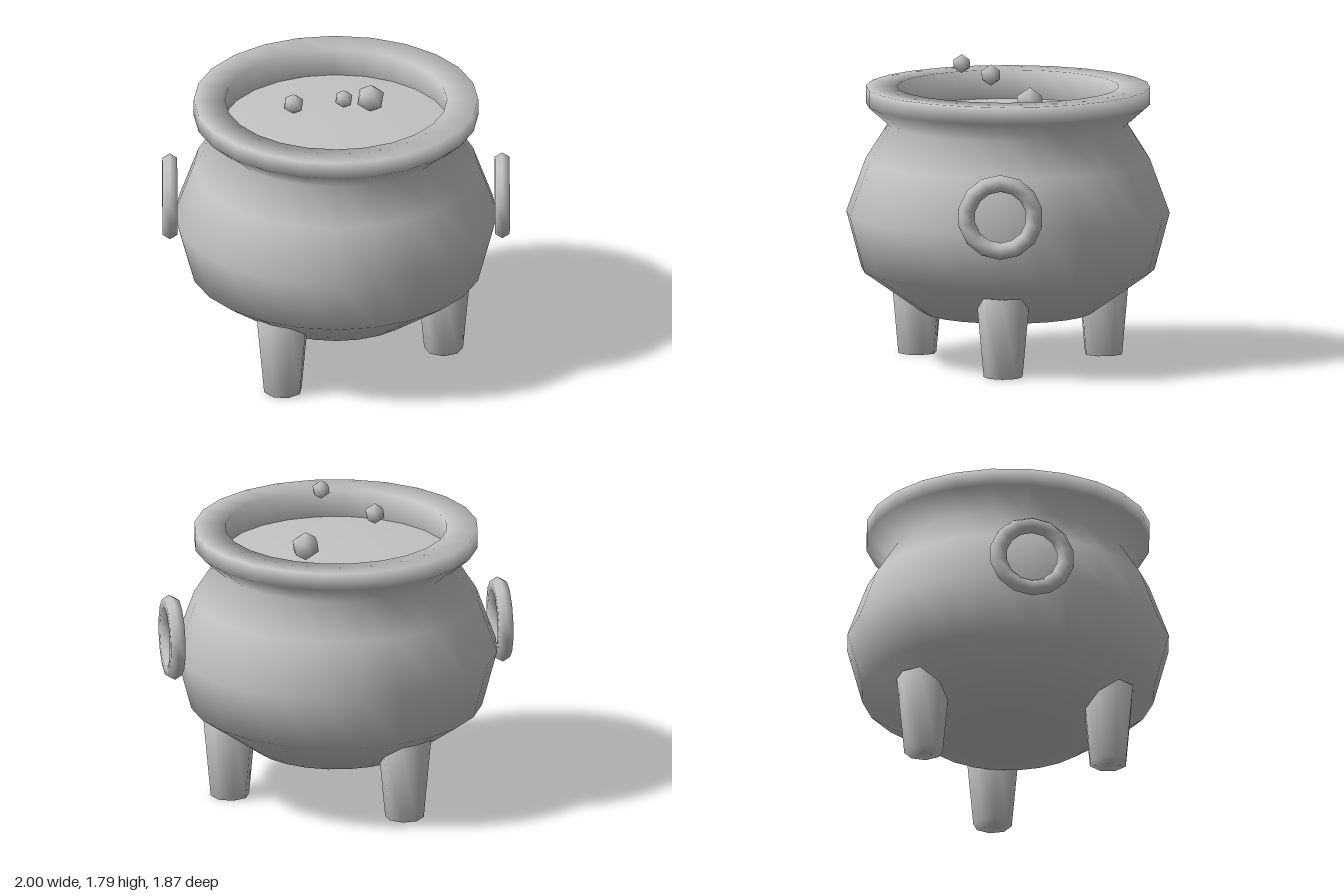
import * as THREE from 'three';

const iron = new THREE.MeshStandardMaterial({ color: 0xc4c4c4 });
iron.name = 'plain grey';

// Smooth surface of revolution from [radius, height] pairs
function turned(name, profile, sides) {
  const points = profile.map(([r, y]) => new THREE.Vector2(r, y));
  const mesh = new THREE.Mesh(new THREE.LatheGeometry(points, sides), iron);
  mesh.name = name;
  return mesh;
}

// Smooth-shaded icosahedron standing on one corner
function bubble(radius, x, y, z) {
  const geometry = new THREE.IcosahedronGeometry(radius, 0);
  geometry.rotateZ(-Math.atan(2 / (1 + Math.sqrt(5))));
  geometry.setAttribute('normal', geometry.getAttribute('position').clone());
  geometry.normalizeNormals();
  const mesh = new THREE.Mesh(geometry, iron);
  mesh.name = 'bubble';
  mesh.position.set(x, y, z);
  return mesh;
}

export function createModel() {
  const cauldron = new THREE.Group();
  cauldron.name = 'cauldron';

  // Pot: outside from the bottom up, over the rim, then down the inside
  cauldron.add(turned('pot', [
    [0, 0.25], [0.49, 0.29], [0.845, 0.54], [0.933, 0.87], [0.82, 1.18],
    [0.69, 1.385], [0.82, 1.5], [0.82, 1.6],
    [0.64, 1.6], [0.662, 1.4],
    [0.77, 1.15], [0.87, 0.87], [0.79, 0.58], [0.46, 0.35], [0, 0.31],
  ], 24));

  // Liquid filling the pot up to the neck
  cauldron.add(turned('liquid', [[0.665, 1.37], [0.665, 1.43], [0, 1.43]], 24));

  // Three tapered legs
  for (let i = 0; i < 3; i++) {
    const angle = (i * Math.PI * 2) / 3;
    const leg = turned('leg', [[0, 0], [0.112, 0], [0.155, 0.47], [0, 0.47]], 8);
    leg.position.set(0.62 * Math.cos(angle), 0, 0.62 * Math.sin(angle));
    leg.rotation.y = -angle;
    cauldron.add(leg);
  }

  // Ring handles on both sides
  for (const side of [-1, 1]) {
    const geometry = new THREE.TorusGeometry(0.198, 0.049, 6, 14);
    geometry.rotateZ(Math.PI / 2);
    geometry.rotateY(Math.PI / 2);
    const ring = new THREE.Mesh(geometry, iron);
    ring.name = side > 0 ? 'leftHandle' : 'rightHandle';
    ring.position.set(side * 0.9575, 0.98, 0);
    cauldron.add(ring);
  }

  // Bubbles rising from the liquid
  cauldron.add(
    bubble(0.062, -0.245, 1.628, 0.11),
    bubble(0.055, 0.043, 1.737, 0.265),
    bubble(0.085, 0.2, 1.54, -0.135),
  );

  return cauldron;
}
